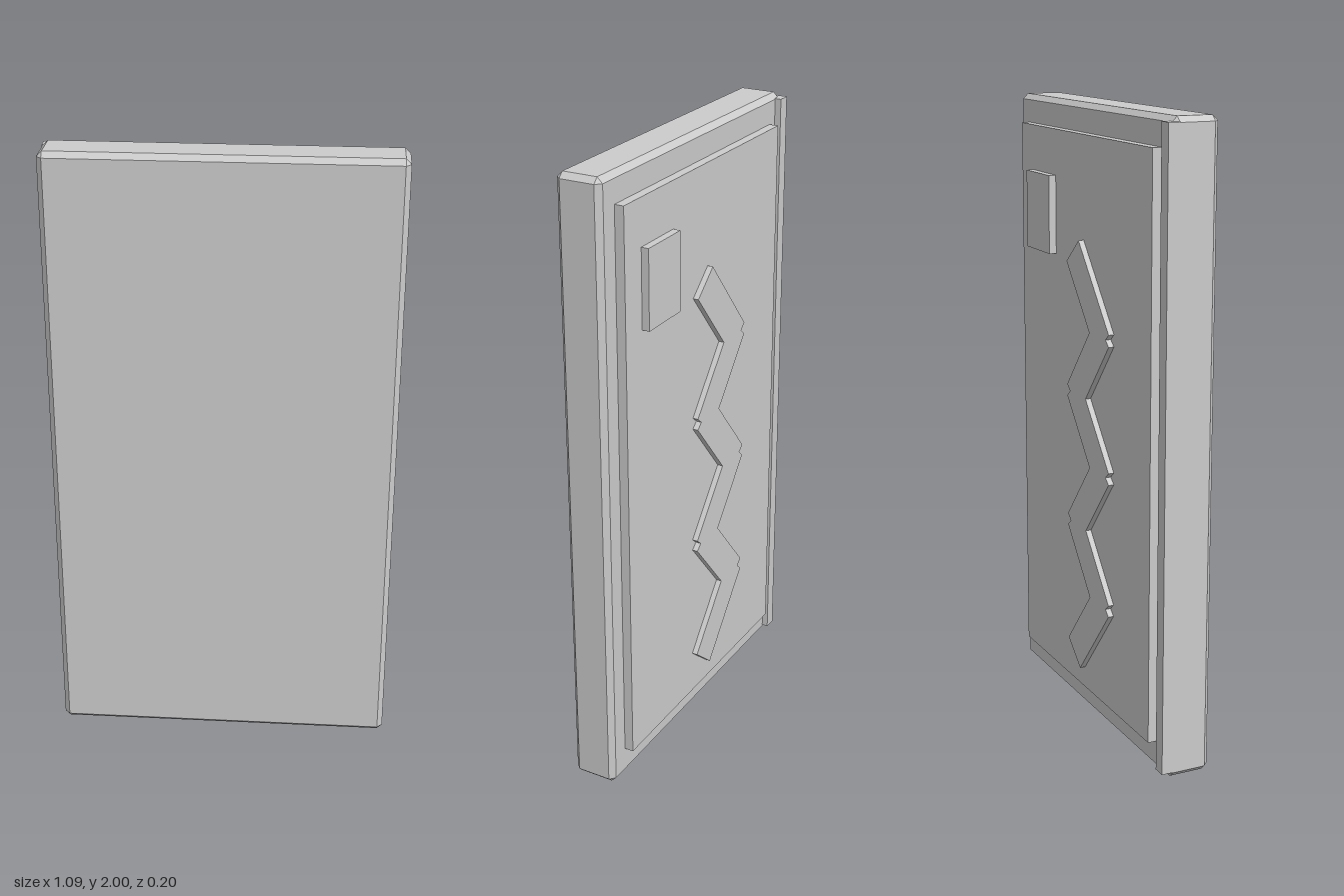
import * as THREE from 'three';
import { ConvexGeometry } from 'three/addons/geometries/ConvexGeometry.js';

const material = new THREE.MeshStandardMaterial({ color: 0xcccccc, flatShading: true });

function part(name, geometry) {
  const mesh = new THREE.Mesh(geometry, material);
  mesh.name = name;
  return mesh;
}

// Box given by its lower and upper corners
function boxBetween(name, [x0, y0, z0], [x1, y1, z1]) {
  const mesh = part(name, new THREE.BoxGeometry(x1 - x0, y1 - y0, z1 - z0));
  mesh.position.set((x0 + x1) / 2, (y0 + y1) / 2, (z0 + z1) / 2);
  return mesh;
}

// Box with every edge and corner chamfered by c
function chamferedBox(w, h, d, c) {
  const points = [];
  for (const sx of [-1, 1]) for (const sy of [-1, 1]) for (const sz of [-1, 1])
    for (let flush = 0; flush < 3; flush++) {
      const p = [w / 2, h / 2, d / 2].map((half, axis) => (axis === flush ? half : half - c));
      points.push(new THREE.Vector3(sx * p[0], sy * p[1], sz * p[2]));
    }
  return new ConvexGeometry(points);
}

// Outline of six overlapping slanted bars, with small notches at the outer bends
function zigzagShape() {
  const count = 6, step = 0.2175, top = 1.42;
  const side = (sign) => {
    const points = [];
    for (let i = 0; i < count; i++) {
      const y = top - i * step;
      const bendY = y - step / 2;
      const leansIn = (i % 2 === 0) === (sign > 0);
      if (leansIn) points.push([sign * 0.1525, y + 0.09], [sign * -0.0145, bendY]);
      else points.push([sign * 0.1525, y - 0.09], [sign * 0.1305, bendY]);
    }
    points.pop();
    return points;
  };
  const outline = [
    [0.0625, top + 0.167],
    ...side(-1),
    [0.0625, top - (count - 1) * step - 0.167],
    ...side(1).reverse(),
  ];
  return new THREE.Shape(outline.map(([x, y]) => new THREE.Vector2(x, y)));
}

export function createModel() {
  const model = new THREE.Group();
  model.name = 'slab';

  // Main slab
  const body = part('body', chamferedBox(1.088, 2, 0.145, 0.017));
  body.position.set(0, 1, 0.026);
  model.add(body);

  // Raised panel, edge strip and square on the back
  model.add(boxBetween('backPanel', [-0.47, 0.095, -0.076], [0.47, 1.91, -0.03]));
  model.add(boxBetween('edgeStrip', [-0.547, 0.02, -0.067], [-0.505, 1.985, -0.03]));
  model.add(boxBetween('backSquare', [0.2, 1.515, -0.1], [0.38, 1.765, -0.06]));

  // Raised zigzag
  const zigzag = part('zigzag', new THREE.ExtrudeGeometry(zigzagShape(), { depth: 0.035, bevelEnabled: false }));
  zigzag.position.set(-0.0725, 0, -0.094);
  model.add(zigzag);

  return model;
}
